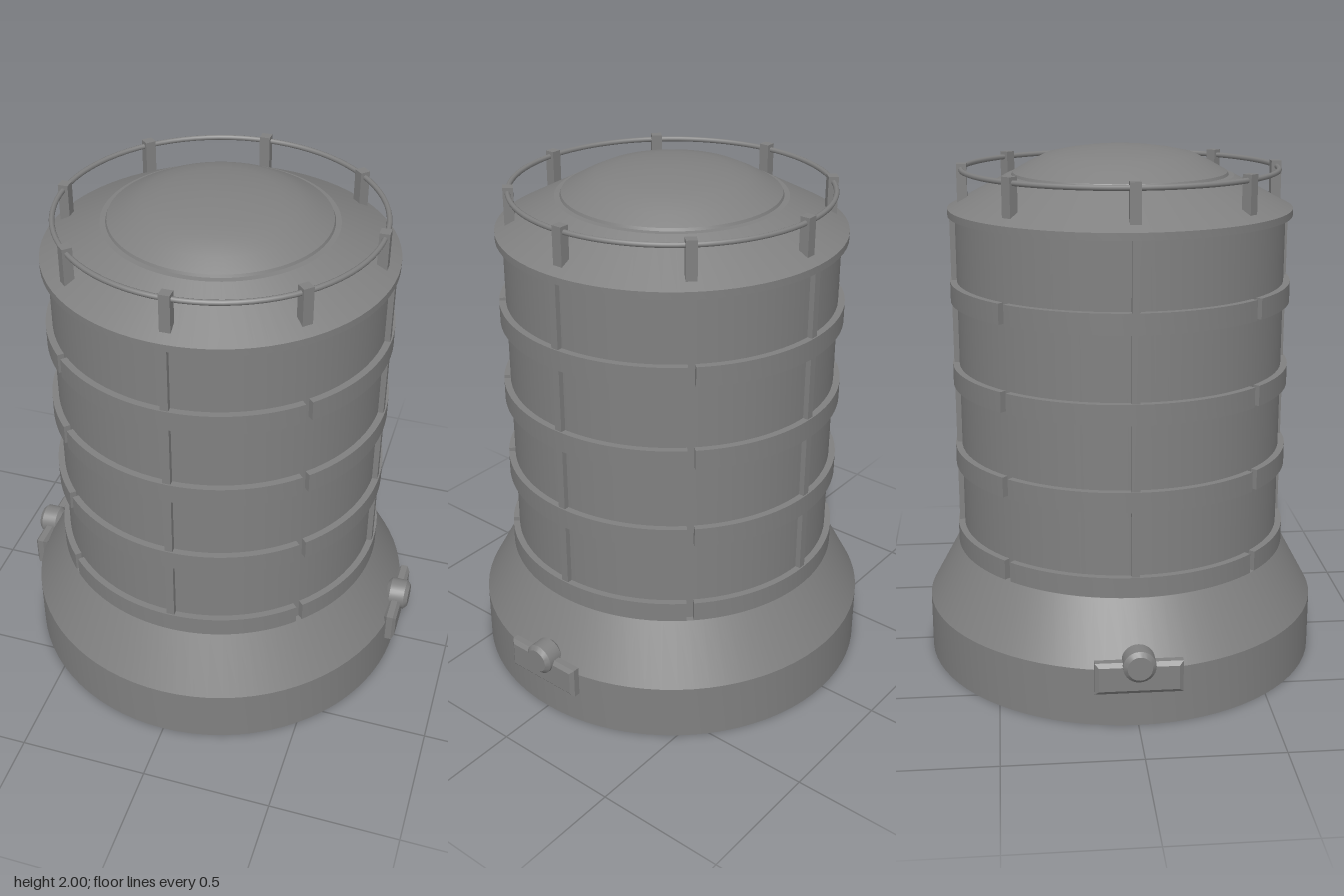
import * as THREE from 'three';
import { toCreasedNormals } from 'three/addons/utils/BufferGeometryUtils.js';

const SEG = 80;

export function createModel() {
  const model = new THREE.Group();
  model.name = 'storageTank';
  const grey = new THREE.MeshStandardMaterial({ color: 0x808080, side: THREE.DoubleSide });
  grey.name = 'plain grey';

  const add = (name, geometry, parent = model) => {
    const mesh = new THREE.Mesh(geometry, grey);
    mesh.name = name;
    parent.add(mesh);
    return mesh;
  };
  const lathe = (points) =>
    toCreasedNormals(new THREE.LatheGeometry(points.map(([r, y]) => new THREE.Vector2(r, y)), SEG), 0.3);

  // Flared skirt, open underneath, with a narrow ledge up to the wall
  add('skirt', lathe([[0.77, 0], [0.77, 0.22], [0.648, 0.445], [0.62, 0.445]]));
  add('wall', lathe([[0.625, 0.445], [0.625, 1.75]]));

  // Rim, sloping roof and shallow dome
  add('roof', lathe([[0.62, 1.745], [0.652, 1.745], [0.652, 1.772], [0.43, 1.89], [0.405, 1.892]]));
  add('dome', lathe([[0.41, 1.89], [0.405, 1.902], [0.345, 1.936], [0.28, 1.967], [0.21, 1.982],
    [0.14, 1.992], [0.07, 1.998], [0, 2]]));

  // Hoops in four quarter arcs, with a gap at each diagonal
  const half = Math.PI / 4 - 0.021;
  const arc = new THREE.Shape();
  arc.absarc(0, 0, 0.65, -half, half, false);
  arc.absarc(0, 0, 0.62, half, -half, true);
  const hoop = toCreasedNormals(
    new THREE.ExtrudeGeometry(arc, { depth: 0.077, bevelEnabled: false, curveSegments: 20 })
      .rotateX(-Math.PI / 2), 0.3);
  for (const y of [0.447, 0.773, 1.097, 1.42]) {
    for (let i = 0; i < 4; i++) {
      const part = add('hoopSegment', hoop);
      part.position.y = y;
      part.rotation.y = i * Math.PI / 2;
    }
  }

  // Upright ribs on the four axes
  const rib = new THREE.BoxGeometry(0.03, 1.3, 0.03).translate(0, 1.095, 0.63);
  for (let i = 0; i < 4; i++) add('rib', rib).rotation.y = i * Math.PI / 2;

  // Guard rail on eight posts
  const railing = new THREE.Group();
  railing.name = 'railing';
  model.add(railing);
  add('rail', new THREE.TorusGeometry(0.596, 0.01, 8, SEG).rotateX(Math.PI / 2), railing).position.y = 1.914;
  const post = new THREE.BoxGeometry(0.04, 0.145, 0.038).translate(0, 1.8625, 0.594);
  for (let i = 0; i < 8; i++) add('post', post, railing).rotation.y = i * Math.PI / 4;

  // Side fittings: a bevelled plate with a round boss
  const outline = new THREE.Shape();
  outline.moveTo(-0.145, -0.046).lineTo(0.145, -0.046).lineTo(0.145, 0.046).lineTo(-0.145, 0.046);
  const plate = new THREE.ExtrudeGeometry(outline, {
    depth: 0.025, bevelEnabled: true, bevelThickness: 0.012, bevelSize: 0.015, bevelSegments: 1,
  }).rotateY(Math.PI / 2);
  const boss = toCreasedNormals(new THREE.LatheGeometry(
    [[0, 0.73], [0.045, 0.73], [0.06, 0.745], [0.06, 0.805], [0.045, 0.82], [0, 0.82]]
      .map(([r, y]) => new THREE.Vector2(r, y)), 28), 0.4).rotateZ(-Math.PI / 2);
  for (let i = 0; i < 2; i++) {
    const fitting = new THREE.Group();
    fitting.name = i ? 'rightFitting' : 'leftFitting';
    fitting.rotation.y = i * Math.PI;
    model.add(fitting);
    add('plate', plate, fitting).position.set(0.758, 0.198, 0);
    add('boss', boss, fitting).position.y = 0.25;
  }

  return model;
}
